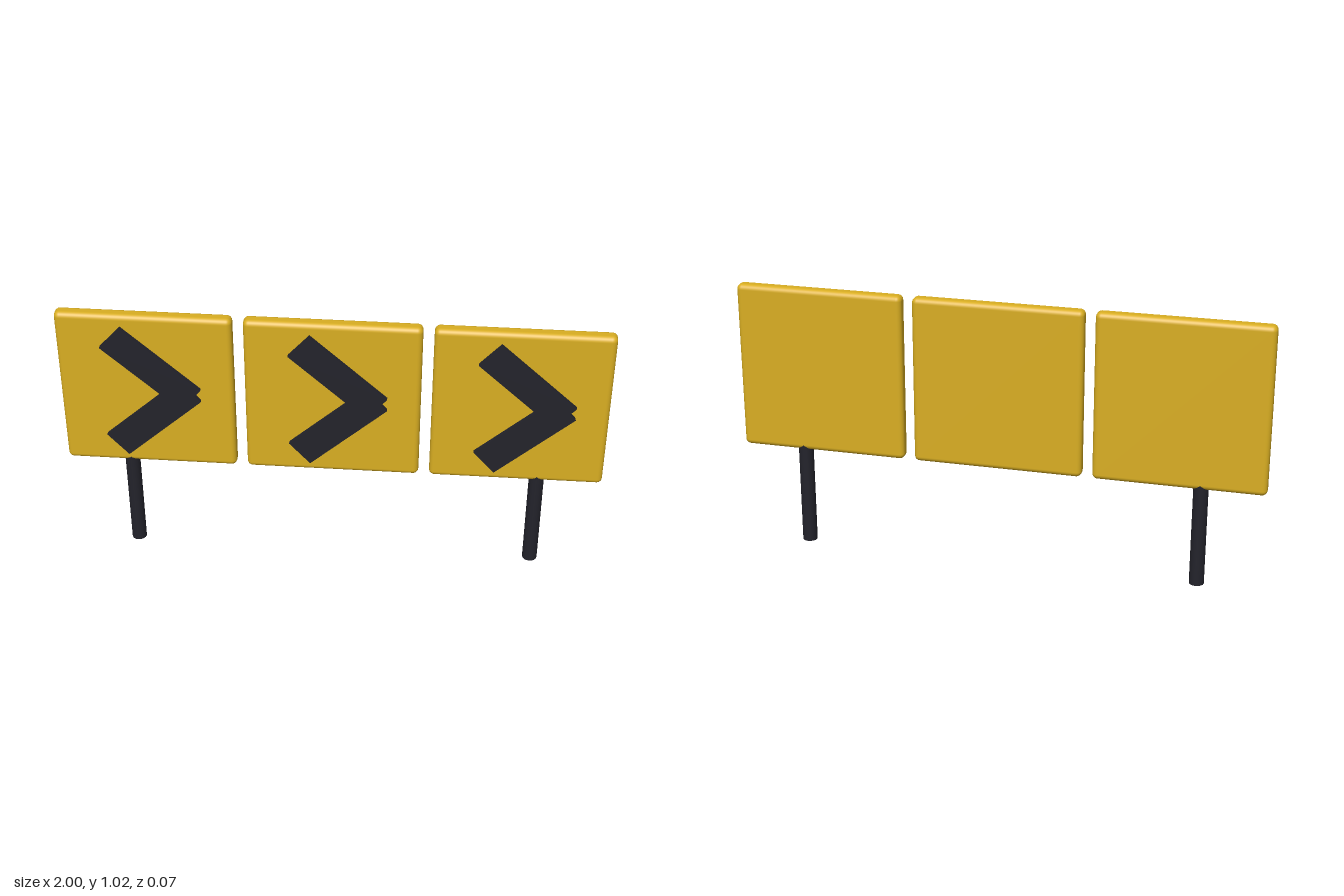
import * as THREE from 'three';
import { RoundedBoxGeometry } from 'three/addons/geometries/RoundedBoxGeometry.js';

export function createModel() {
  const yellow = new THREE.MeshStandardMaterial({ name: 'signYellow', color: 0xd9ae22 });
  const dark = new THREE.MeshStandardMaterial({ name: 'darkGrey', color: 0x23232b });
  const model = new THREE.Group();
  model.name = 'chevronRoadSign';

  const add = (parent, name, geometry, material, x, y, z, turn = 0) => {
    const mesh = new THREE.Mesh(geometry, material);
    mesh.name = name;
    mesh.position.set(x, y, z);
    mesh.rotation.z = turn;
    parent.add(mesh);
  };

  const panelGeometry = new RoundedBoxGeometry(0.64, 0.64, 0.056, 4, 0.02);
  const barGeometry = new THREE.BoxGeometry(0.378, 0.116, 0.02);
  const postGeometry = new THREE.CylinderGeometry(0.028, 0.028, 0.41, 16);
  const midZ = -0.008;
  const slope = THREE.MathUtils.degToRad(42);

  // Three rounded panels, each with an arrow of two crossed bars
  for (const x of [-0.68, 0, 0.68]) {
    const section = new THREE.Group();
    section.name = 'signSection';
    section.position.set(x, 0.705, 0);
    add(section, 'panel', panelGeometry, yellow, 0, 0, midZ);
    for (const side of [1, -1]) {
      add(section, side > 0 ? 'upperArrowBar' : 'lowerArrowBar', barGeometry, dark,
        0.02, side * 0.108, 0.026, -side * slope);
    }
    model.add(section);
  }

  // Posts under the outer panels
  for (const x of [-0.76, 0.76]) add(model, 'post', postGeometry, dark, x, 0.205, midZ);

  return model;
}
